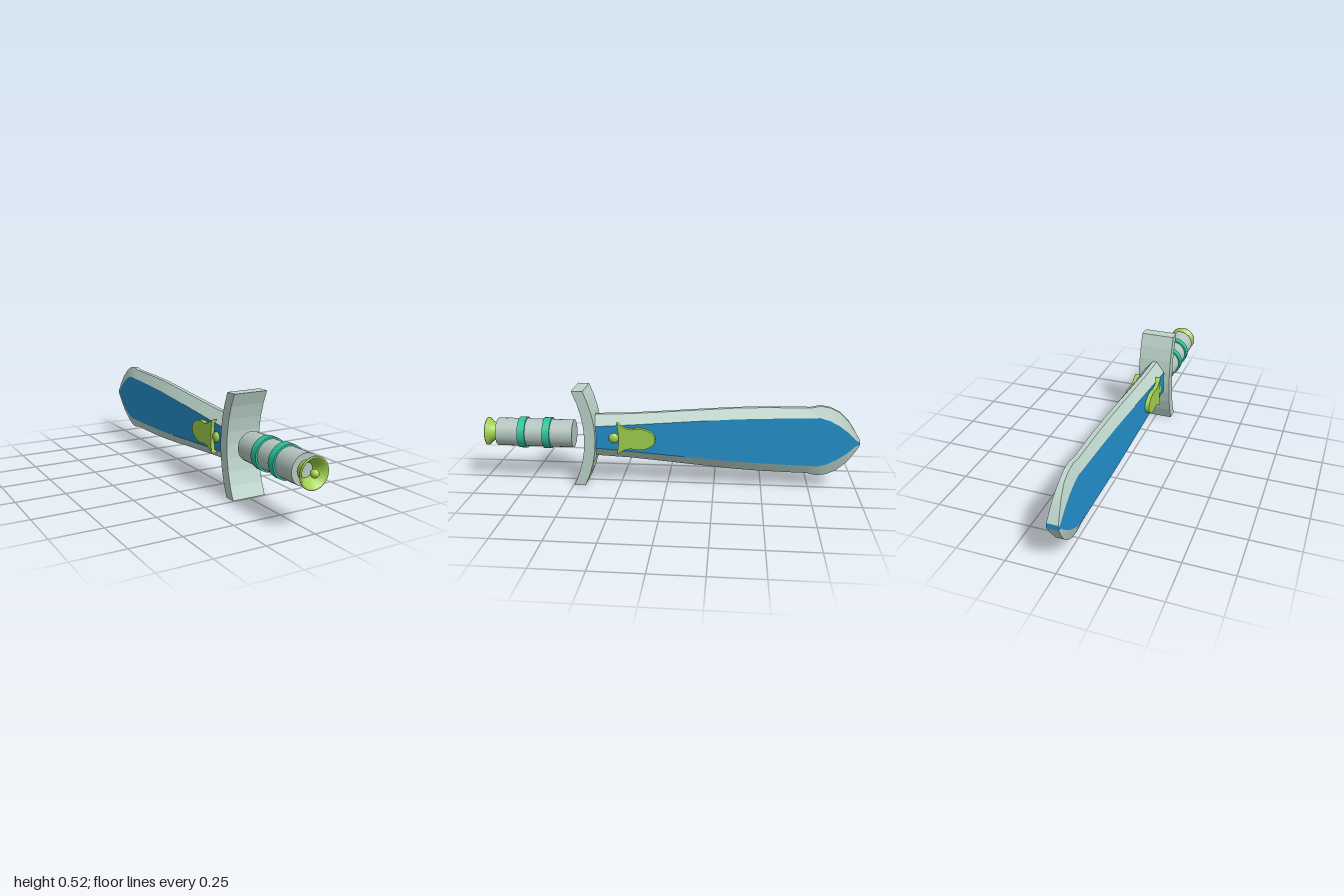
import * as THREE from 'three';

const AXIS_Y = 0.262;

const material = (name, color) => {
  const m = new THREE.MeshStandardMaterial({ color });
  m.name = name;
  return m;
};

export function createModel() {
  const silver = material('pale silver', 0xbcd4ca);
  const gripGrey = material('grip grey', 0xb4c6c0);
  const blue = material('blade blue', 0x2390cc);
  const lime = material('lime', 0xa0d04e);
  const teal = material('teal', 0x2cc29a);
  const limeOpen = material('lime shell', 0xa0d04e);
  limeOpen.side = THREE.DoubleSide;

  const root = new THREE.Group();
  root.name = 'sword';
  const add = (name, geometry, mat) => {
    const mesh = new THREE.Mesh(geometry, mat);
    mesh.name = name;
    root.add(mesh);
    return mesh;
  };

  // Blade sections: z, half height of the edge, half height of the blue face
  const sections = [
    [0.385, 0.115, 0.06], [0.2, 0.123, 0.073], [0, 0.139, 0.089], [-0.2, 0.156, 0.105],
    [-0.35, 0.168, 0.116], [-0.5, 0.175, 0.123], [-0.65, 0.178, 0.128], [-0.74, 0.179, 0.13],
    [-0.79, 0.19, 0.133], [-0.84, 0.182, 0.118], [-0.89, 0.158, 0.092], [-0.94, 0.11, 0.055],
    [-0.975, 0.058, 0.02], [-1, 0.014, 0.004],
  ];
  const rings = sections.map(([z, h, b]) => {
    const hx = 0.03 + 0.028 * (z + 1) / 1.385;
    const e = z < -0.9 ? 0.012 + 0.016 * (-0.9 - z) / 0.1 : 0.012;
    return [[hx, -b], [hx, b], [e, h], [-e, h], [-hx, b], [-hx, -b], [-e, -h], [e, -h]]
      .map(([x, y]) => [x, y + AXIS_Y, z]);
  });
  const buildGeometry = (points, index) => {
    const g = new THREE.BufferGeometry();
    g.setAttribute('position', new THREE.Float32BufferAttribute(points.flat(), 3));
    g.setIndex(index);
    g.computeVertexNormals();
    return g;
  };
  // One lengthwise strip per side keeps the ridges sharp
  for (let i = 0; i < 8; i++) {
    const points = [], index = [];
    rings.forEach((ring, r) => {
      points.push(ring[i], ring[(i + 1) % 8]);
      if (r > 0) {
        const k = (r - 1) * 2;
        index.push(k, k + 2, k + 1, k + 1, k + 2, k + 3);
      }
    });
    const face = i % 4 === 0;
    add(face ? 'bladeFace' : 'bladeEdge', buildGeometry(points, index), face ? blue : silver);
  }
  const fan = [], fanBack = [];
  for (let i = 1; i < 7; i++) {
    fan.push(0, i, i + 1);
    fanBack.push(0, i + 1, i);
  }
  add('bladeRoot', buildGeometry(rings[0], fan), silver);
  add('bladeTip', buildGeometry(rings[rings.length - 1], fanBack), blue);

  // Extrudes a (z, y) outline along x, centred on x
  const extrudeAcross = (shape, width) => {
    const g = new THREE.ExtrudeGeometry(shape, { depth: width, bevelEnabled: false, curveSegments: 8 });
    g.translate(0, 0, -width / 2);
    return g.rotateY(-Math.PI / 2);
  };

  // Curved crossguard
  const guard = new THREE.Shape();
  guard.moveTo(0.494, 0.52);
  guard.quadraticCurveTo(0.372, 0.26, 0.494, 0);
  guard.lineTo(0.434, 0);
  guard.quadraticCurveTo(0.316, 0.26, 0.434, 0.52);
  add('crossguard', extrudeAcross(guard, 0.182), silver);

  // Ornament and knob on both faces of the blade
  const crest = new THREE.Shape();
  crest.moveTo(0.263, 0.086);
  crest.quadraticCurveTo(0.215, 0.05, 0.18, 0.054);
  crest.bezierCurveTo(0.13, 0.068, 0.06, 0.045, 0.06, 0);
  crest.bezierCurveTo(0.06, -0.045, 0.13, -0.068, 0.18, -0.054);
  crest.quadraticCurveTo(0.215, -0.05, 0.263, -0.086);
  crest.quadraticCurveTo(0.245, 0, 0.263, 0.086);
  for (const side of [1, -1]) {
    add('bladeOrnament', extrudeAcross(crest, 0.028), lime).position.set(side * 0.06, AXIS_Y, 0);
    const knob = add('ornamentKnob', new THREE.SphereGeometry(0.027, 16, 12), lime);
    knob.scale.x = 0.6;
    knob.position.set(side * 0.059, AXIS_Y, 0.282);
  }

  // Round parts lie along z
  const along = (name, geometry, mat, z) =>
    add(name, geometry.rotateX(Math.PI / 2), mat).position.set(0, AXIS_Y, z);

  along('grip', new THREE.CylinderGeometry(0.075, 0.075, 0.415, 24), gripGrey, 0.7125);
  for (const z of [0.78, 0.645]) {
    along('gripBand', new THREE.CylinderGeometry(0.084, 0.084, 0.04, 24), teal, z);
  }

  // Hollow flared pommel with a small ball
  const flare = [[0.045, 0], [0.047, 0.018], [0.058, 0.038], [0.076, 0.054], [0.076, 0.06],
    [0.068, 0.06], [0.05, 0.038], [0.037, 0.018], [0.034, 0.003]]
    .map(([r, z]) => new THREE.Vector2(r, z));
  along('pommelFlare', new THREE.LatheGeometry(flare, 24), limeOpen, 0.92);
  along('pommelBall', new THREE.SphereGeometry(0.02, 16, 12), lime, 0.98);

  return root;
}
